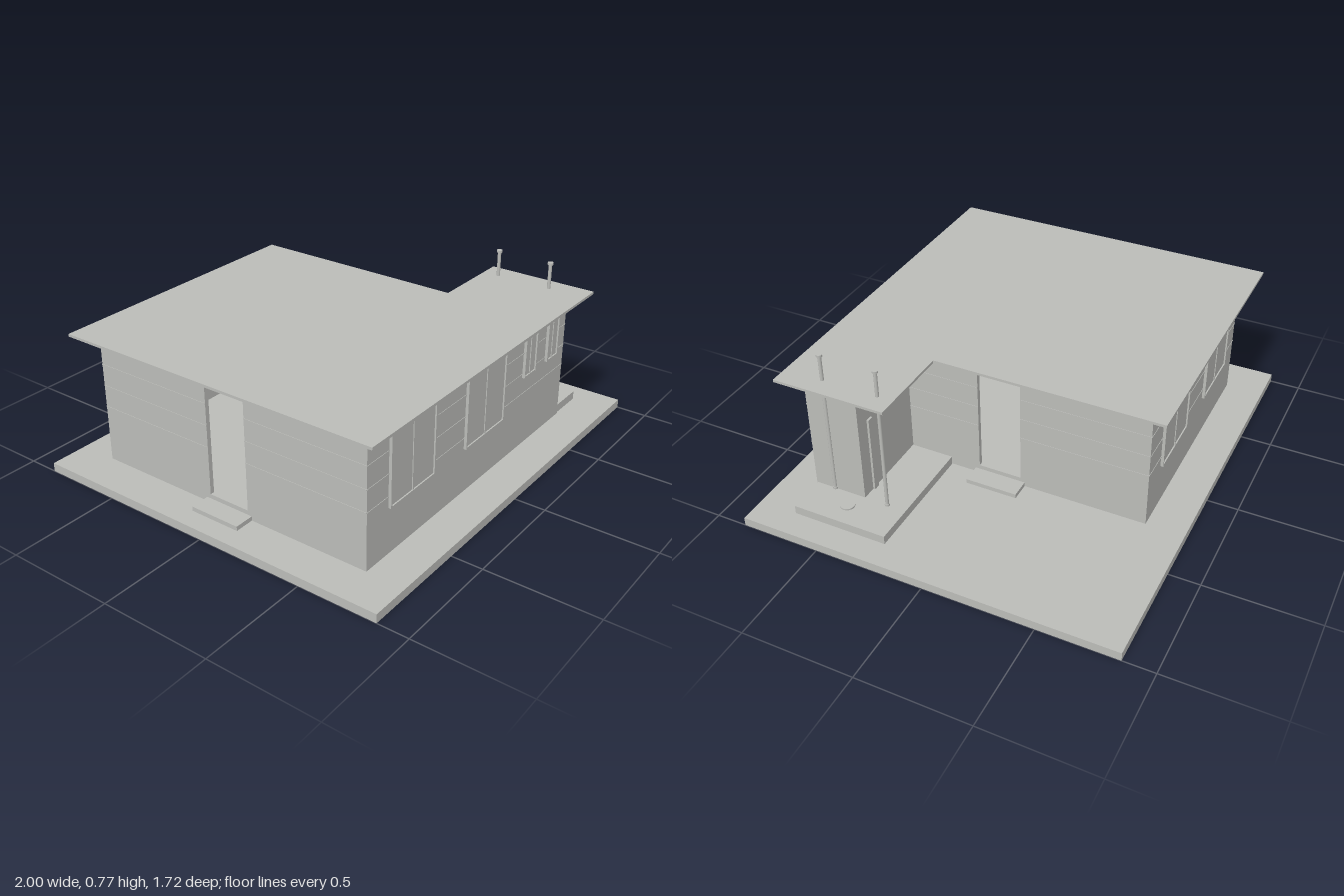
import * as THREE from 'three';

export function createModel() {
  const model = new THREE.Group();
  model.name = 'house';
  const plaster = new THREE.MeshStandardMaterial({ color: 0xbbbcb8 });
  plaster.name = 'pale grey';

  const add = (name, geometry, parent = model) => {
    const mesh = new THREE.Mesh(geometry, plaster);
    mesh.name = name;
    parent.add(mesh);
    return mesh;
  };
  // Box given by its lower and upper limits
  const box = (name, x0, x1, y0, y1, z0, z1, parent) => {
    const mesh = add(name, new THREE.BoxGeometry(x1 - x0, y1 - y0, z1 - z0), parent);
    mesh.position.set((x0 + x1) / 2, (y0 + y1) / 2, (z0 + z1) / 2);
    return mesh;
  };
  // Horizontal slab from an outline of [x, z] points
  const slab = (name, outline, y0, y1) => {
    const shape = new THREE.Shape(outline.map(([x, z]) => new THREE.Vector2(x, -z)));
    const geometry = new THREE.ExtrudeGeometry(shape, { depth: y1 - y0, bevelEnabled: false });
    geometry.rotateX(-Math.PI / 2);
    add(name, geometry).position.y = y0;
  };
  // L-shaped outline with a wing at the front
  const lShape = (x0, x1, x2, z0, z1, z2) =>
    [[x0, z2], [x2, z2], [x2, z1], [x1, z1], [x1, z0], [x0, z0]];

  // Plot, floor, roof and porch
  box('plot', -1, 1, 0, 0.04, -0.86, 0.86);
  slab('floor', lShape(-0.81, 0.29, 0.695, -0.675, 0.45, 0.675), 0.04, 0.08);
  slab('roof', lShape(-0.91, 0.39, 0.79, -0.77, 0.255, 0.77), 0.638, 0.65);
  box('porch', 0.302, 0.88, 0.04, 0.08, 0.24, 0.68);

  // Solid walls
  const T = 0.02, Y0 = 0.04, Y1 = 0.638;
  box('frontWall', -0.82, 0.705, Y0, Y1, 0.685 - T, 0.685);
  box('backWall', -0.82, 0.3, Y0, Y1, -0.685, -0.685 + T);
  box('wingSideWall', 0.705 - T, 0.705, Y0, Y1, 0.44, 0.685 - T);
  box('wingBackWall', 0.3, 0.705 - T, Y0, Y1, 0.44, 0.44 + T);

  // Side walls with a doorway, and a step outside each
  const sideWall = (name, x, zFront) => {
    box(name + 'Rear', x, x + T, Y0, Y1, -0.685 + T, -0.1);
    box(name + 'Front', x, x + T, Y0, Y1, 0.1, zFront);
    box(name + 'Lintel', x, x + T, 0.585, Y1, -0.1, 0.1);
    box(name + 'Sill', x, x + T, Y0, 0.08, -0.1, 0.1);
  };
  sideWall('rightWall', -0.82, 0.685 - T);
  sideWall('leftWall', 0.3 - T, 0.46);
  box('rightStep', -0.91, -0.82, 0.04, 0.06, -0.12, 0.12);
  box('leftStep', 0.3, 0.39, 0.04, 0.06, -0.12, 0.12);

  // Thin siding strips
  for (const y of [0.3, 0.4, 0.5]) {
    const a = y - 0.002, b = y + 0.002, d = 0.002;
    box('frontSiding', -0.82, 0.705, a, b, 0.685, 0.685 + d);
    box('backSiding', -0.82, 0.3, a, b, -0.685 - d, -0.685);
    for (const [z0, z1] of [[-0.685, -0.1], [0.1, 0.685]]) {
      box('rightSiding', -0.82 - d, -0.82, a, b, z0, z1);
      box('leftSiding', 0.3, 0.3 + d, a, b, z0, Math.min(z1, 0.44));
    }
  }

  // Windows: pane, frame and one upright bar
  const addWindow = (x0, x1, y0, y1, side) => {
    const group = new THREE.Group();
    group.name = side > 0 ? 'frontWindow' : 'backWindow';
    const w = 0.007;
    const part = (name, a, b, c, d, depth) => {
      const z = [side * 0.685, side * (0.685 + depth)].sort((p, q) => p - q);
      box(name, a, b, c, d, z[0], z[1], group);
    };
    part('pane', x0, x1, y0, y1, 0.006);
    part('frameSide', x0, x0 + w, y0, y1, 0.013);
    part('frameSide', x1 - w, x1, y0, y1, 0.013);
    part('frameBottom', x0 + w, x1 - w, y0, y0 + w, 0.012);
    part('frameTop', x0 + w, x1 - w, y1 - w, y1, 0.012);
    part('bar', (x0 + x1 - w) / 2, (x0 + x1 + w) / 2, y0 + w, y1 - w, 0.01);
    model.add(group);
  };
  for (const side of [1, -1]) {
    addWindow(-0.682, -0.377, 0.25, 0.585, side);
    addWindow(-0.145, 0.16, 0.25, 0.585, side);
  }
  addWindow(0.325, 0.428, 0.382, 0.585, 1);
  addWindow(0.528, 0.627, 0.382, 0.585, 1);

  // Porch posts with caps above the roof
  for (const z of [0.33, 0.59]) {
    const post = add('post', new THREE.CylinderGeometry(0.008, 0.008, 0.69, 16));
    post.position.set(0.705, 0.425, z);
    const cap = add('postCap', new THREE.CylinderGeometry(0.013, 0.013, 0.01, 16));
    cap.position.set(0.705, 0.77, z);
    const foot = add('postFoot', new THREE.CylinderGeometry(0.011, 0.011, 0.01, 16));
    foot.position.set(0.705, 0.085, z);
  }

  // Small porch fittings
  const disc = add('porchDisc', new THREE.CylinderGeometry(0.032, 0.032, 0.007, 24));
  disc.position.set(0.78, 0.0835, 0.48);
  box('porchPanel', 0.61, 0.64, 0.08, 0.45, 0.43, 0.44);

  return model;
}
